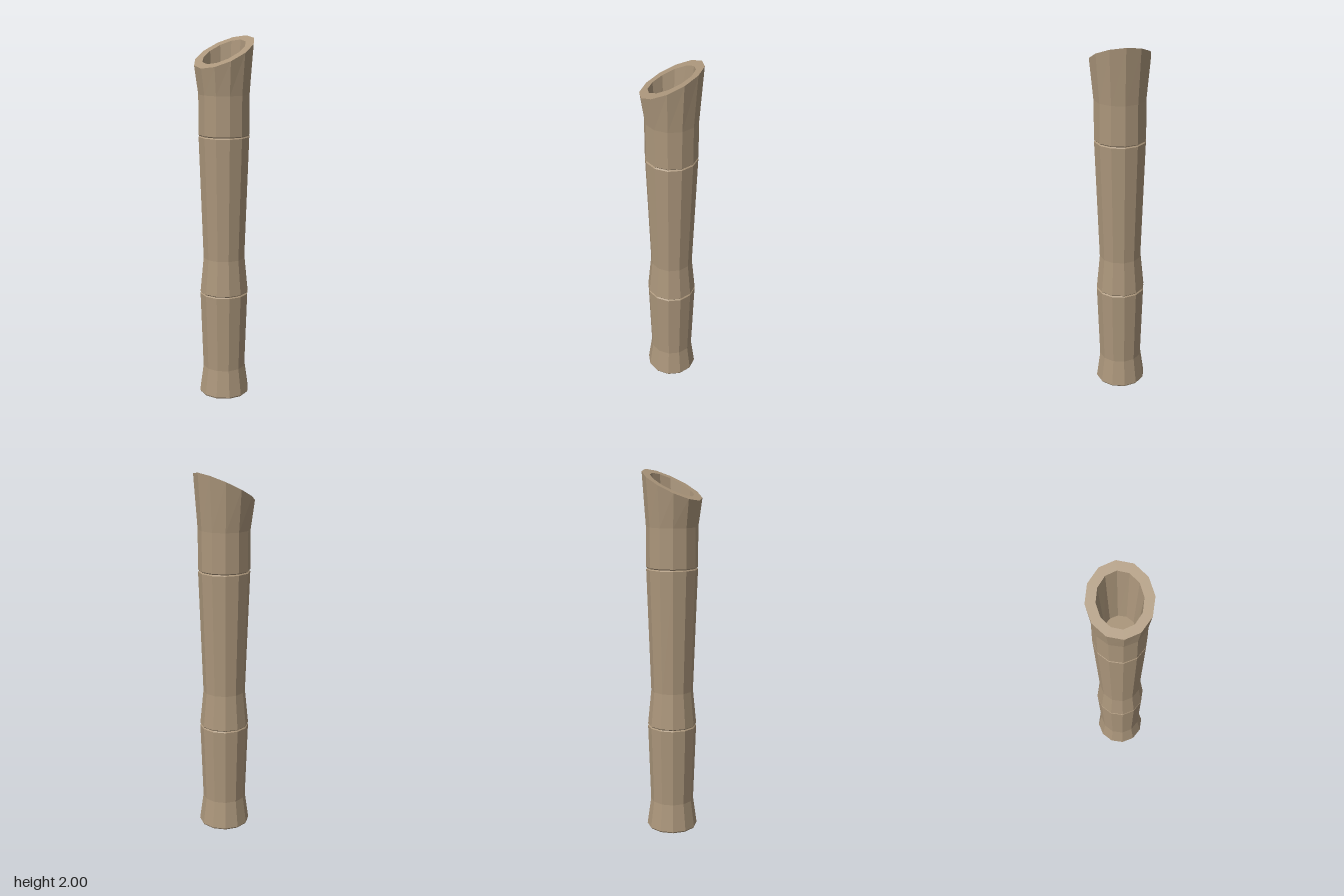
import * as THREE from 'three';

const SIDES = 12;
const cutHeight = (z) => 1.92 - 0.5 * z; // slanted cut plane, high at the back

// Joins rings of [radiusX, height, radiusZ]; height 'cut' follows the slanted plane.
function ringSkin(rings) {
  const pos = [];
  const index = [];
  rings.forEach(([rx, h, rz = rx]) => {
    for (let i = 0; i < SIDES; i++) {
      const a = (i / SIDES) * Math.PI * 2;
      const z = Math.cos(a) * rz;
      pos.push(Math.sin(a) * rx, h === 'cut' ? cutHeight(z) : h, z);
    }
  });
  for (let r = 0; r < rings.length - 1; r++) {
    for (let i = 0; i < SIDES; i++) {
      const j = (i + 1) % SIDES;
      const a = r * SIDES + i, b = r * SIDES + j;
      index.push(a, b, b + SIDES, a, b + SIDES, a + SIDES);
    }
  }
  const indexed = new THREE.BufferGeometry();
  indexed.setAttribute('position', new THREE.Float32BufferAttribute(pos, 3));
  indexed.setIndex(index);
  const g = indexed.toNonIndexed();
  g.computeVertexNormals();
  return g;
}

export function createModel() {
  const group = new THREE.Group();
  group.name = 'bambooStalk';
  const bamboo = new THREE.MeshStandardMaterial({ color: 0xab967b, flatShading: true });
  bamboo.name = 'dry bamboo';

  const add = (name, rings) => {
    const mesh = new THREE.Mesh(ringSkin(rings), bamboo);
    mesh.name = name;
    group.add(mesh);
  };

  // Narrow V groove around a joint
  const node = (r, y) => [[r, y - 0.006], [r - 0.006, y], [r, y + 0.006]];

  add('outerStalk', [
    [0.136, 0], [0.141, 0.008], [0.12, 0.16],
    ...node(0.135, 0.6),
    [0.116, 0.8],
    ...node(0.14, 1.48),
    [0.14, 1.7], [0.161, 'cut'],
  ]);
  add('cutRim', [[0.161, 'cut'], [0.111, 'cut', 0.119]]);
  add('hollowWall', [[0.111, 'cut', 0.119], [0.083, 1.55, 0.088]]);
  add('hollowFloor', [[0.083, 1.55, 0.088], [0, 1.55]]);
  add('baseCap', [[0, 0], [0.136, 0]]);
  return group;
}
